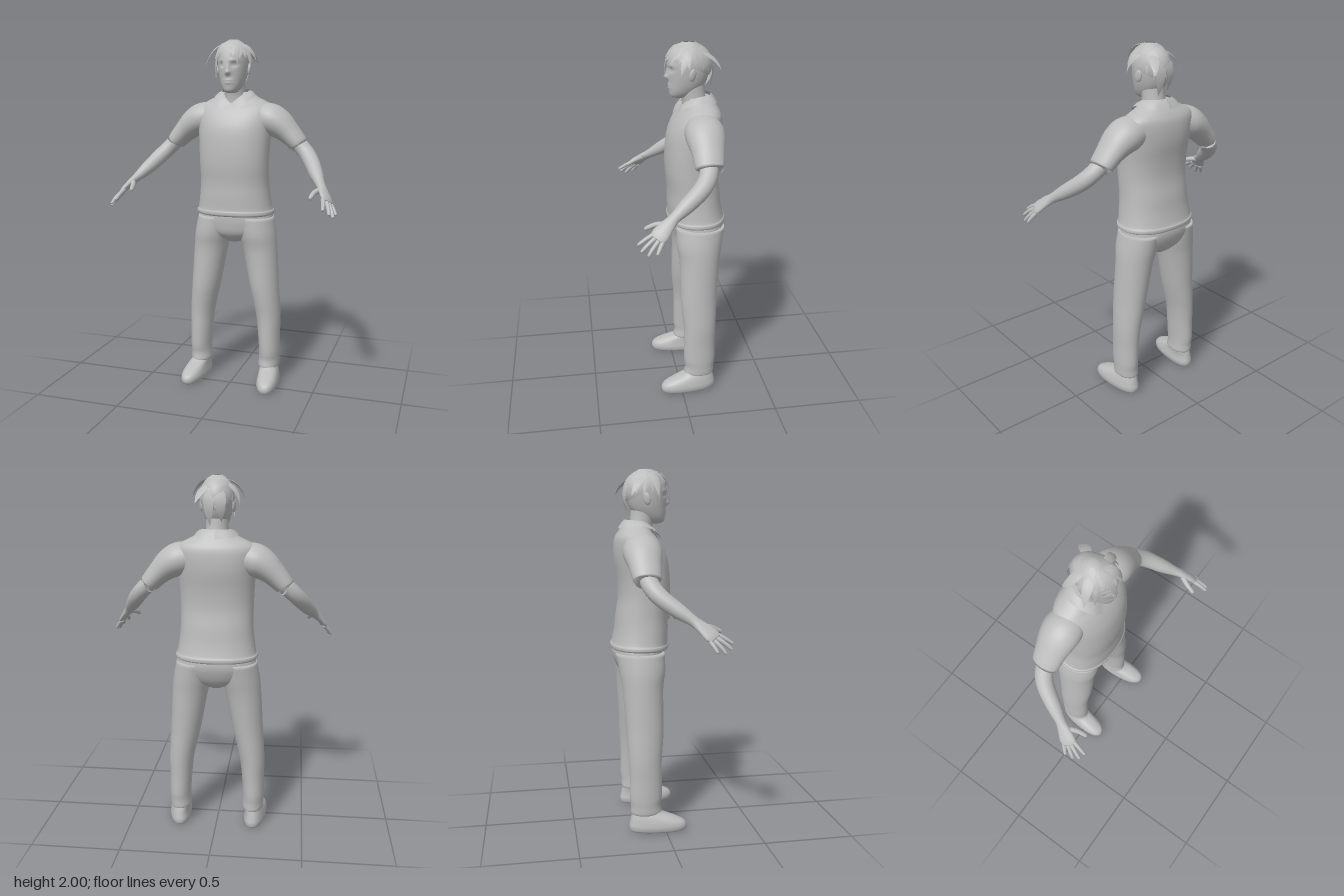
import * as THREE from 'three';

const V = (x, y, z) => new THREE.Vector3(x, y, z);
const mat = (name, hex, side = THREE.FrontSide) => {
  const m = new THREE.MeshStandardMaterial({ color: hex, side });
  m.name = name;
  return m;
};
const clay = mat('clay grey', 0xbcbcbc);
const sheet = mat('clay grey sheet', 0xbcbcbc, THREE.DoubleSide);
const FRONT = V(0, 0, 1), UP = V(0, 1, 0);

// Smoothly fills in cross-sections between the given rows
function refine(rows, sub) {
  const out = [], n = rows.length;
  for (let i = 0; i < n - 1; i++) {
    const [p, q, r, s] = [rows[Math.max(i - 1, 0)], rows[i], rows[i + 1], rows[Math.min(i + 2, n - 1)]];
    for (let k = 0; k < sub; k++) {
      const t = k / sub;
      out.push(q.map((b, j) => 0.5 * (2 * b + (r[j] - p[j]) * t + (2 * p[j] - 5 * b + 4 * r[j] - s[j]) * t * t
        + (3 * b - p[j] - 3 * r[j] + s[j]) * t * t * t)));
    }
  }
  out.push(rows[n - 1]);
  return out;
}

// Skin over cross-sections [x, y, z, halfWidth, halfDepth]; level keeps every section horizontal
function loft(rows, { level = false, ref = FRONT, seg = 28, sub = 4, pow = 1, bend = null } = {}) {
  const r = refine(rows, sub), pos = [], idx = [], n = r.length;
  const c = r.map(a => V(a[0], a[1], a[2]));
  const round = t => Math.sign(t) * Math.abs(t) ** pow;
  for (let i = 0; i < n; i++) {
    const t = level ? UP : c[Math.min(i + 1, n - 1)].clone().sub(c[Math.max(i - 1, 0)]).normalize();
    const u = t.clone().cross(ref).normalize(), v = u.clone().cross(t);
    for (let j = 0; j < seg; j++) {
      const a = j / seg * Math.PI * 2;
      const p = c[i].clone().addScaledVector(u, round(Math.cos(a)) * r[i][3]).addScaledVector(v, round(Math.sin(a)) * r[i][4]);
      if (bend) bend(p);
      pos.push(p.x, p.y, p.z);
    }
  }
  for (let i = 0; i < n - 1; i++) for (let j = 0; j < seg; j++) {
    const a = i * seg + j, b = i * seg + (j + 1) % seg;
    idx.push(a, a + seg, b, b, a + seg, b + seg);
  }
  const last = (n - 1) * seg;
  pos.push(...c[0].toArray(), ...c[n - 1].toArray());
  for (let j = 0; j < seg; j++) {
    const k = (j + 1) % seg;
    idx.push(n * seg, j, k, n * seg + 1, last + k, last + j);
  }
  return surface(pos, idx);
}

function surface(pos, idx) {
  const g = new THREE.BufferGeometry();
  g.setAttribute('position', new THREE.Float32BufferAttribute(pos, 3));
  g.setIndex(idx);
  g.computeVertexNormals();
  return g;
}

// Rows of points of equal length joined into an open sheet
function grid(lines) {
  const w = lines[0].length, idx = [];
  for (let i = 0; i < lines.length - 1; i++) for (let j = 0; j < w - 1; j++) {
    const a = i * w + j;
    idx.push(a, a + 1, a + w, a + 1, a + w + 1, a + w);
  }
  return surface(lines.flat().flatMap(p => p.toArray()), idx);
}

// Facial relief: nose, eye sockets, brow, lips
function face(p) {
  if (p.z < -0.03) return;
  const bump = (x, y, sx, sy) => Math.exp(-(((Math.abs(p.x) - x) / sx) ** 2) - ((p.y - y) / sy) ** 2);
  p.z += 0.02 * bump(0, 1.815, 0.014, 0.014) + 0.011 * bump(0, 1.84, 0.011, 0.025)
    - 0.012 * bump(0.034, 1.857, 0.017, 0.012) + 0.005 * bump(0.034, 1.857, 0.009, 0.005)
    + 0.005 * bump(0.03, 1.882, 0.03, 0.009) + 0.008 * bump(0, 1.767, 0.024, 0.013)
    - 0.006 * bump(0, 1.767, 0.024, 0.0035);
}

export function createModel() {
  const root = new THREE.Group();
  root.name = 'standingPerson';
  const add = (name, geo, m = clay) => {
    const mesh = new THREE.Mesh(geo, m);
    mesh.name = name;
    root.add(mesh);
    return mesh;
  };

  // Shirt body with a rolled hem
  add('shirt', loft([
    [0, 1.012, -.11, .21, .15], [0, 1.02, -.11, .226, .16], [0, 1.038, -.11, .226, .161], [0, 1.05, -.108, .218, .155],
    [0, 1.12, -.1, .207, .149], [0, 1.2, -.095, .2, .145], [0, 1.3, -.083, .2, .143], [0, 1.4, -.085, .204, .145],
    [0, 1.5, -.098, .211, .147], [0, 1.57, -.112, .219, .135], [0, 1.62, -.125, .215, .116], [0, 1.65, -.132, .185, .095],
    [0, 1.675, -.13, .135, .08], [0, 1.7, -.125, .095, .068], [0, 1.708, -.12, .08, .06],
  ], { level: true, seg: 48, pow: 0.88 }));

  // Hips
  add('hips', loft([
    [0, .85, -.115, .04, .06], [0, .875, -.115, .11, .095], [0, .91, -.115, .19, .122], [0, .96, -.12, .222, .138],
    [0, 1.0, -.122, .22, .143], [0, 1.04, -.12, .212, .14],
  ], { level: true, seg: 40, pow: 0.9 }));

  // Neck and head
  add('neck', loft([[0, 1.63, -.11, .08, .075], [0, 1.68, -.1, .064, .066], [0, 1.73, -.09, .06, .066], [0, 1.79, -.08, .06, .07]],
    { level: true }));
  add('head', loft([
    [0, 1.704, -.02, .02, .025], [0, 1.714, -.027, .038, .058], [0, 1.74, -.04, .056, .078], [0, 1.78, -.057, .071, .097],
    [0, 1.83, -.066, .081, .109], [0, 1.88, -.07, .084, .115], [0, 1.93, -.072, .079, .108], [0, 1.96, -.075, .062, .08],
    [0, 1.98, -.075, .03, .04],
  ], { level: true, seg: 72, sub: 9, pow: 0.94, bend: face }));

  // Hair cap, lower at the back
  const cap = new THREE.SphereGeometry(1, 32, 16, 0, Math.PI * 2, 0, 1.6);
  cap.rotateX(-0.5).scale(.093, .113, .124).translate(0, 1.88, -.07);
  add('hairCap', cap, sheet);

  // Tapered hair locks, ridged along the middle
  const centre = V(0, 1.88, -.07);
  const lock = (a, b, c, w) => {
    const curve = new THREE.QuadraticBezierCurve3(a, b, c);
    add('hairLock', grid([.6, 1, 1, .8, .5, .03].map((k, i) => {
      const p = curve.getPoint(i / 5), out = p.clone().sub(centre).normalize();
      const side = curve.getTangent(i / 5).cross(out).normalize().multiplyScalar(w * k);
      return [p.clone().sub(side), p.clone().addScaledVector(out, .006 * k), p.clone().add(side)];
    })), sheet);
  };
  const onHead = (az, pol, r) => V(.093 * Math.sin(pol) * Math.sin(az), .113 * Math.cos(pol), .124 * Math.sin(pol) * Math.cos(az))
    .multiplyScalar(r).add(centre);
  for (let i = 0; i < 18; i++) {
    const az = i / 18 * Math.PI * 2, back = (1 - Math.cos(az)) / 2, vary = Math.sin(i * 7.3);
    lock(onHead(az + .3, .25, 1.02), onHead(az + .15, .95, 1.13), onHead(az, 1.25 + .75 * back + .15 * vary, 1.08 + .07 * vary), .022);
  }
  [ // loose flicks: root, middle, tip, half width
    [[0, 1.985, -.02], [-.02, 1.97, .06], [-.008, 1.815, .062], .028],
    [[.01, 1.985, -.02], [.06, 1.97, .05], [.055, 1.86, .045], .022],
    [[-.03, 1.98, -.04], [-.09, 1.97, .02], [-.085, 1.76, -.01], .02],
    [[-.05, 1.97, -.05], [-.12, 1.95, -.03], [-.152, 1.845, -.02], .025],
    [[-.05, 1.96, -.1], [-.12, 1.92, -.13], [-.125, 1.85, -.165], .024],
    [[.05, 1.97, -.04], [.115, 1.95, -.04], [.137, 1.875, -.05], .025],
    [[.05, 1.96, -.08], [.11, 1.93, -.03], [.115, 1.84, -.01], .024],
    [[.04, 1.95, -.13], [.08, 1.92, -.2], [.1, 1.86, -.225], .026],
    [[-.02, 1.93, -.17], [-.03, 1.85, -.22], [-.03, 1.76, -.165], .03],
    [[.03, 1.93, -.17], [.04, 1.85, -.21], [.03, 1.74, -.165], .03],
  ].forEach(([a, b, c, w]) => lock(V(...a), V(...b), V(...c), w));

  for (const s of [1, -1]) {
    const side = s > 0 ? 'left' : 'right';
    const flip = rows => rows.map(([x, ...rest]) => [x * s, ...rest]);
    const tube = (name, rows, opt) => add(side + name, loft(flip(rows), opt));

    // Ear
    const ear = add(side + 'Ear', new THREE.SphereGeometry(1, 16, 12));
    ear.scale.set(.009, .033, .02);
    ear.position.set(.087 * s, 1.835, -.075);
    ear.rotation.set(-.2, .35 * s, 0);

    // Collar half, folded down to a point at the front
    const edge = pts => new THREE.CatmullRomCurve3(flip(pts).map(p => V(...p))).getPoints(16);
    const top = edge([[.004, 1.648, -.015], [.045, 1.685, -.04], [.078, 1.715, -.1], [.058, 1.722, -.165], [0, 1.724, -.19]]);
    const low = edge([[.045, 1.612, .012], [.092, 1.655, -.02], [.118, 1.688, -.1], [.09, 1.683, -.195], [0, 1.675, -.225]]);
    const mid = top.map((p, i) => p.clone().lerp(low[i], .5).add(V(0, .006, 0)));
    add(side + 'Collar', grid([top, mid, low]), sheet);

    // Sleeve
    tube('Sleeve', [
      [.13, 1.572, -.12, .08, .09], [.2, 1.558, -.12, .09, .105], [.255, 1.53, -.12, .082, .1], [.31, 1.483, -.12, .065, .086],
      [.362, 1.428, -.118, .054, .076], [.367, 1.422, -.118, .05, .07], [.36, 1.43, -.118, .043, .055],
    ].slice(0, 6), { seg: 32 });

    // Arm running into the flattened palm
    const across = V(-.5 * s, .4, .75);
    tube('Arm', [
      [.32, 1.465, -.12, .045, .05], [.4, 1.392, -.105, .045, .048], [.45, 1.335, -.06, .044, .046], [.495, 1.275, .02, .038, .04],
      [.53, 1.23, .085, .026, .029], [.555, 1.2, .125, .02, .036], [.58, 1.165, .165, .017, .045], [.593, 1.147, .185, .01, .036],
    ], { ref: across, seg: 24 });

    // Fingers and thumb: base, middle, tip
    [
      ['IndexFinger', [.567, 1.168, .19], [.575, 1.147, .232], [.582, 1.122, .272]],
      ['MiddleFinger', [.58, 1.158, .18], [.6, 1.128, .225], [.612, 1.098, .26]],
      ['RingFinger', [.59, 1.147, .168], [.613, 1.112, .203], [.627, 1.08, .228]],
      ['LittleFinger', [.595, 1.143, .15], [.618, 1.113, .17], [.635, 1.086, .185]],
      ['Thumb', [.545, 1.205, .125], [.518, 1.195, .178], [.507, 1.172, .228]],
    ].forEach(([name, a, b, c]) => {
      const r = name === 'Thumb' ? .014 : .011;
      const end = c.map((q, i) => q + (c[i] - b[i]) * .12);
      tube(name, [[...a, r * 1.15, r * 1.15], [...b, r, r], [...c, r * .75, r * .75], [...end, r * .2, r * .2]],
        { ref: across, seg: 12 });
    });

    // Trouser leg with a slightly gathered cuff
    tube('TrouserLeg', [
      [.211, .1, -.105, .054, .078], [.211, .11, -.105, .061, .087], [.213, .15, -.108, .06, .084], [.214, .2, -.107, .061, .09],
      [.21, .3, -.106, .064, .09], [.205, .4, -.108, .07, .092], [.192, .5, -.106, .078, .099], [.177, .6, -.105, .086, .105],
      [.152, .8, -.112, .099, .113], [.135, .9, -.112, .107, .128], [.118, 1.0, -.12, .104, .135],
    ], { level: true, seg: 32 });

    // Shoe, toes turned slightly outward
    tube('Shoe', [
      [.222, 0, -.04, .05, .148], [.222, .008, -.04, .058, .157], [.222, .03, -.04, .063, .161], [.222, .055, -.045, .06, .151],
      [.22, .08, -.068, .055, .122], [.215, .105, -.098, .05, .085], [.212, .13, -.105, .045, .07],
    ], { level: true, seg: 36, pow: 0.85, bend: p => { p.x += s * .08 * (p.z + .06); } });
  }
  return root;
}
